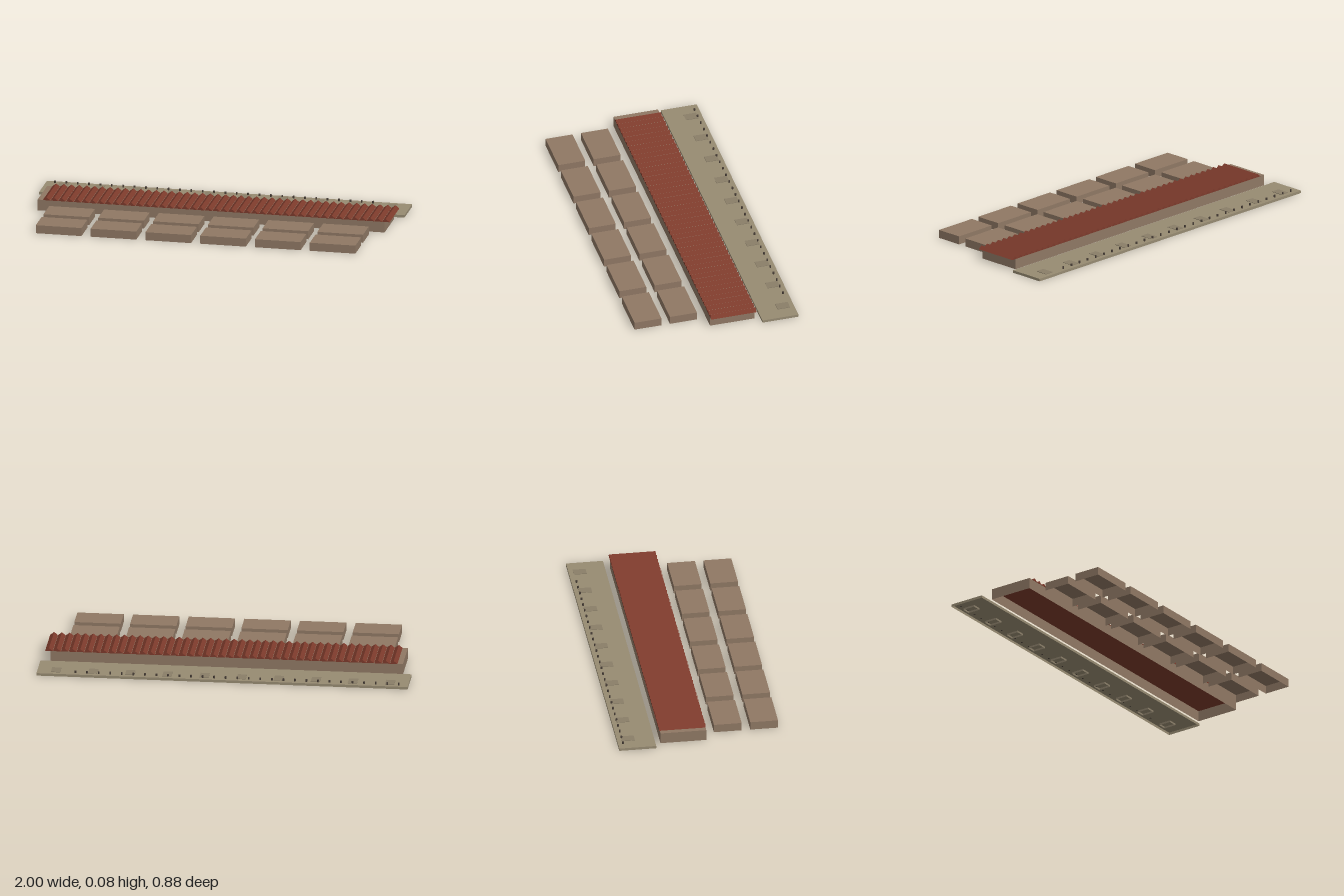
import * as THREE from 'three';

const material = (color) => new THREE.MeshStandardMaterial({ color, side: THREE.DoubleSide });

// Box without a bottom face, given by its limits
function openBox(x0, x1, y0, y1, z0, z1) {
  const geometry = new THREE.BoxGeometry(x1 - x0, y1 - y0, z1 - z0).toNonIndexed();
  const keep = [...Array(36).keys()].filter((i) => i < 18 || i >= 24); // drop the -y face
  const out = new THREE.BufferGeometry();
  for (const key of ['position', 'normal']) {
    const a = geometry.getAttribute(key);
    const values = keep.flatMap((i) => [a.getX(i), a.getY(i), a.getZ(i)]);
    out.setAttribute(key, new THREE.Float32BufferAttribute(values, 3));
  }
  return out.translate((x0 + x1) / 2, (y0 + y1) / 2, (z0 + z1) / 2);
}

export function createModel() {
  const model = new THREE.Group();
  const wall = material(0x8f7864);
  const paving = material(0x978b72);
  const slab = material(0x8a7e68);
  const tile = material(0x7c3a2b);
  const dark = material(0x4a4038);

  const add = (name, geometry, mat, parent = model) => {
    const mesh = new THREE.Mesh(geometry, mat);
    mesh.name = name;
    parent.add(mesh);
    return mesh;
  };
  const group = (name) => {
    const g = new THREE.Group();
    g.name = name;
    model.add(g);
    return g;
  };

  // Long low terrace at the back
  add('terrace', openBox(-1, 1, 0, 0.014, -0.44, -0.24), paving);

  // Thin slabs set into the terrace
  const slabs = group('terraceSlabs');
  for (let i = 0; i < 10; i++) {
    const x = -0.9 + i * 0.2;
    add('slab', openBox(x - 0.025, x + 0.025, 0.004, 0.0165, -0.415, -0.345), slab, slabs);
  }

  // Row of small posts along the terrace edge
  const posts = group('posts');
  const postGeometry = new THREE.CylinderGeometry(0.005, 0.005, 0.014, 8);
  for (let i = 0; i < 29; i++) {
    add('post', postGeometry, dark, posts).position.set(-0.95 + i * 0.0622, 0.0195, -0.413);
  }

  // Long hall
  add('hall', openBox(-0.95, 0.95, 0, 0.06, -0.21, 0.038), wall);

  // Ridged roof: a row of triangular prisms, running front to back
  const teeth = 45, pitch = 1.9 / teeth;
  const ridge = new THREE.Shape([
    new THREE.Vector2(-pitch / 2, 0),
    new THREE.Vector2(pitch / 2, 0),
    new THREE.Vector2(0, 0.0165),
  ]);
  const ridgeGeometry = new THREE.ExtrudeGeometry(ridge, { depth: 0.252, bevelEnabled: false });
  const roof = group('ridgedRoof');
  for (let i = 0; i < teeth; i++) {
    add('ridge', ridgeGeometry, tile, roof).position.set(-0.922 + (i + 0.5) * pitch, 0.0593, -0.213);
  }

  // Two rows of six low blocks in front
  const blocks = group('blocks');
  for (const z of [0.09, 0.287]) {
    for (let i = 0; i < 6; i++) {
      const x = -0.75 + i * 0.3;
      add('block', openBox(x - 0.125, x + 0.125, 0, 0.045, z, z + 0.15), wall, blocks);
    }
  }

  return model;
}
